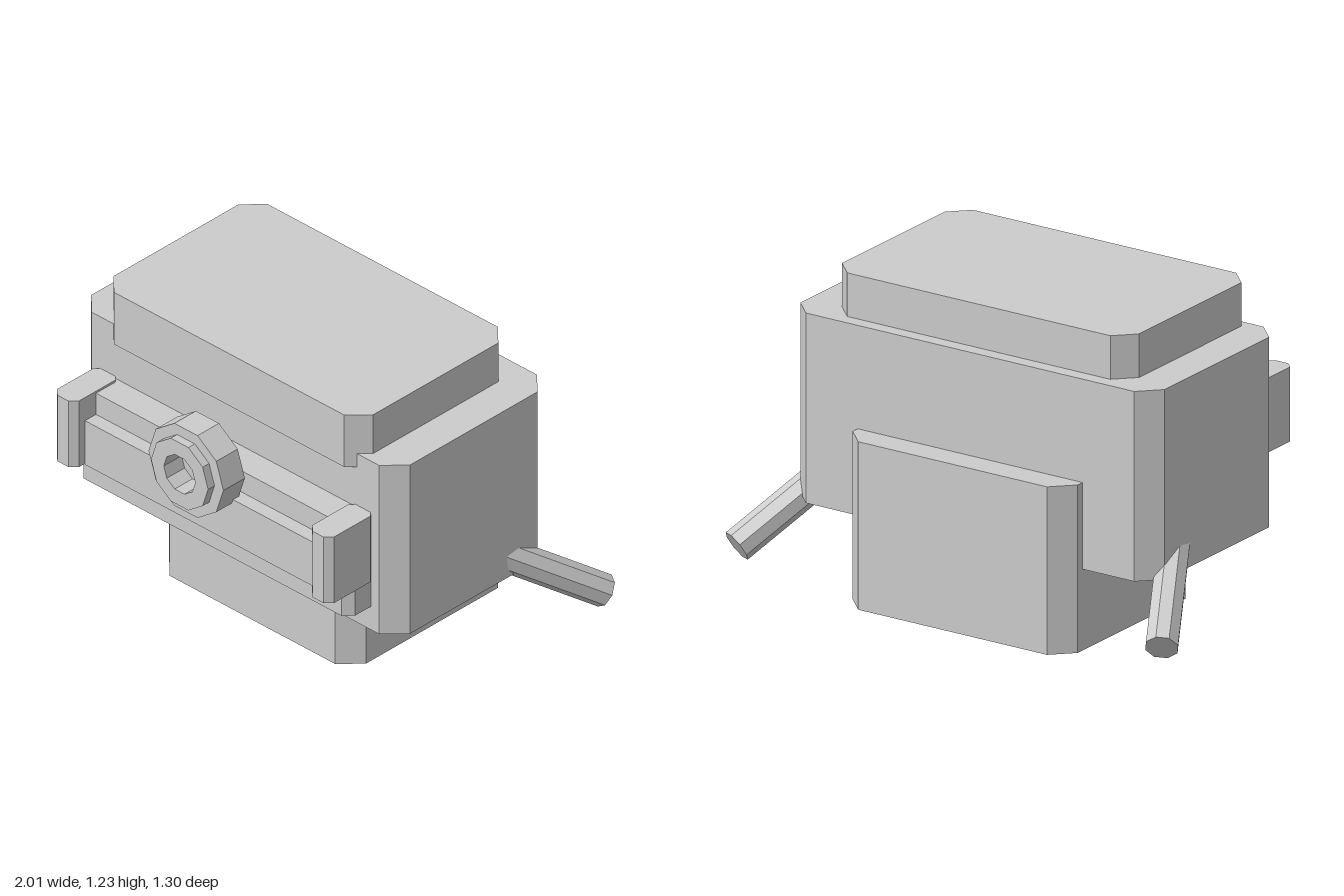
import * as THREE from 'three';

const grey = new THREE.MeshStandardMaterial({ color: 0xcccccc });
grey.name = 'plainGrey';

// Upright block with chamfered vertical edges
function block(name, x0, x1, y0, y1, z0, z1, c) {
  const s = new THREE.Shape([
    [x0 + c, -z1], [x1 - c, -z1], [x1, -z1 + c], [x1, -z0 - c],
    [x1 - c, -z0], [x0 + c, -z0], [x0, -z0 - c], [x0, -z1 + c],
  ].map(([x, y]) => new THREE.Vector2(x, y)));
  const g = new THREE.ExtrudeGeometry(s, { depth: y1 - y0, bevelEnabled: false });
  g.rotateX(-Math.PI / 2).translate(0, y0, 0);
  const m = new THREE.Mesh(g, grey);
  m.name = name;
  return m;
}

const decagon = (r) => Array.from({ length: 10 }, (_, i) => {
  const a = (i / 10) * Math.PI * 2;
  return new THREE.Vector2(r * Math.cos(a), r * Math.sin(a));
});

// Ten-sided plate facing +z, optionally with a ten-sided hole
function disc(name, r, hole, z0, z1) {
  const s = new THREE.Shape(decagon(r));
  if (hole) s.holes.push(new THREE.Path(decagon(hole)));
  const g = new THREE.ExtrudeGeometry(s, { depth: z1 - z0, bevelEnabled: false });
  const m = new THREE.Mesh(g.translate(0, 0, z0), grey);
  m.name = name;
  return m;
}

export function createModel() {
  const model = new THREE.Group();
  model.name = 'chamferedDevice';

  // Main blocks
  model.add(
    block('base', -0.5, 0.5, 0, 0.655, -0.585, 0.27, 0.08),
    block('body', -0.81, 0.81, 0.317, 1.058, -0.473, 0.36, 0.08),
    block('lid', -0.66, 0.66, 1.0, 1.228, -0.417, 0.393, 0.075),
  );

  // Stepped front panel
  model.add(
    block('frontPanel', -0.69, 0.69, 0.42, 0.823, 0.3, 0.48, 0.035),
    block('frontRail', -0.6, 0.6, 0.537, 0.73, 0.4, 0.538, 0),
  );

  for (const side of [-1, 1]) {
    // Brackets at the ends of the rail
    const cx = side * 0.648;
    model.add(block(side > 0 ? 'leftBracket' : 'rightBracket',
      cx - 0.056, cx + 0.056, 0.542, 0.832, 0.35, 0.597, 0.028));

    // Splayed struts running down and back
    const end = new THREE.Vector3(side * 0.945, 0.145, -0.607);
    const dir = new THREE.Vector3(side * 0.19, -0.245, -0.35).normalize();
    const length = 0.6;
    const strut = new THREE.Mesh(
      new THREE.CylinderGeometry(0.064, 0.064, length, 8).toNonIndexed(), grey);
    strut.geometry.computeVertexNormals();
    strut.quaternion.setFromUnitVectors(new THREE.Vector3(0, 1, 0), dir);
    strut.position.copy(end).addScaledVector(dir, -length / 2);
    strut.name = side > 0 ? 'leftStrut' : 'rightStrut';
    model.add(strut);
  }

  // Stepped knob with a recessed centre
  const knob = new THREE.Group();
  knob.name = 'knob';
  knob.position.y = 0.823;
  knob.add(
    disc('knobBack', 0.19, 0, 0.507, 0.56),
    disc('knobRim', 0.19, 0.08, 0.56, 0.62),
    disc('knobCollar', 0.145, 0.08, 0.62, 0.654),
  );
  model.add(knob);
  return model;
}
